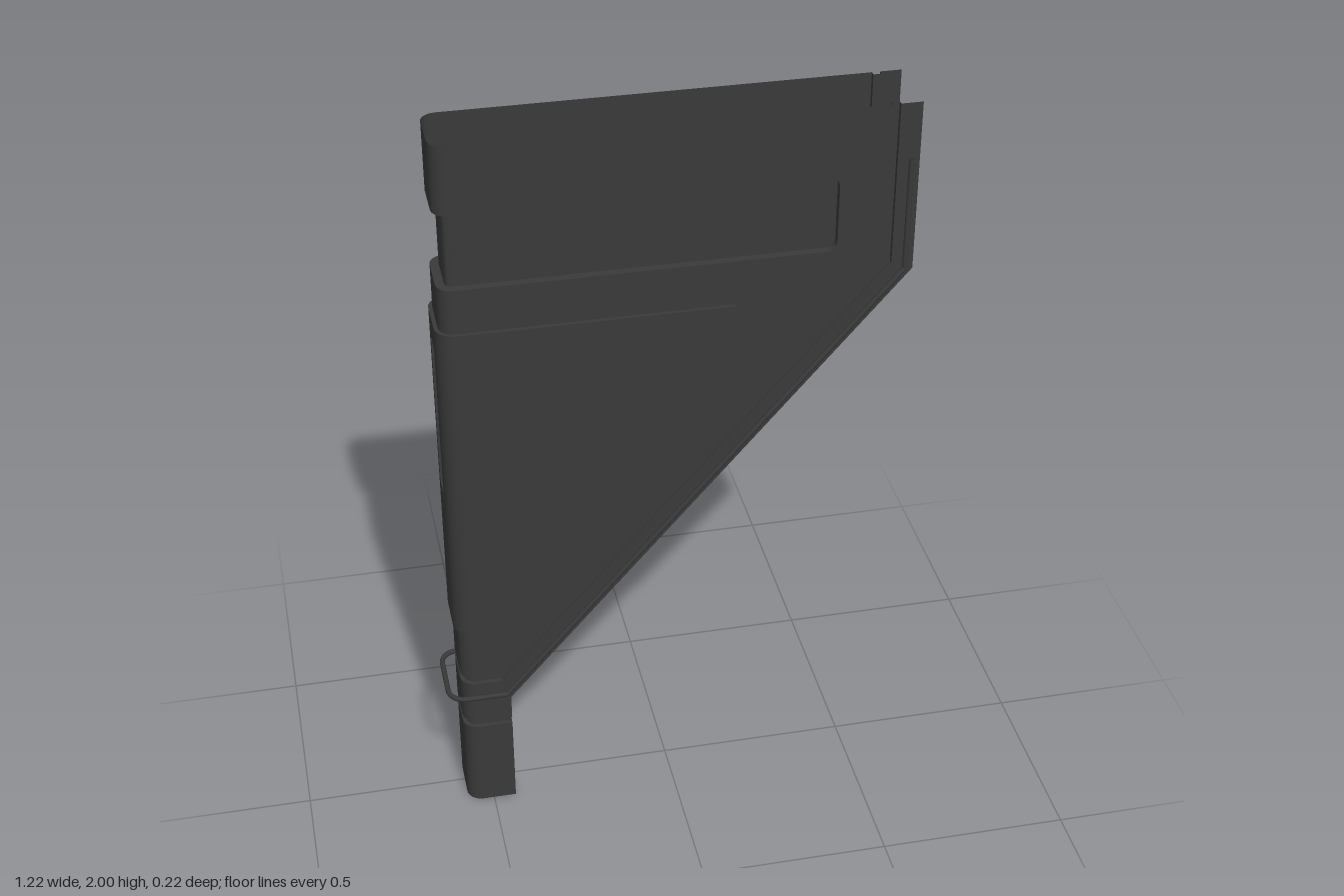
import * as THREE from 'three';
import { toCreasedNormals } from 'three/addons/utils/BufferGeometryUtils.js';

const material = new THREE.MeshStandardMaterial({ color: 0x3a3a3a, side: THREE.DoubleSide });
const CX = -0.53; // where the flat sides meet the rounded end
const GROOVE = 0.013, RECESS = 0.022;

function add(parent, name, geometry) {
  const mesh = new THREE.Mesh(geometry, material);
  mesh.name = name;
  parent.add(mesh);
  return mesh;
}

// Joins rings of equal length into one skin
function loft(rings, closed) {
  const n = rings[0].length, index = [];
  const cols = closed ? n : n - 1;
  for (let r = 0; r < rings.length - 1; r++) {
    for (let i = 0; i < cols; i++) {
      const a = r * n + i, b = r * n + (i + 1) % n;
      index.push(a, b, a + n, b, b + n, a + n);
    }
  }
  const geo = new THREE.BufferGeometry();
  geo.setAttribute('position', new THREE.Float32BufferAttribute(rings.flat(2), 3));
  geo.setIndex(index);
  return toCreasedNormals(geo, 0.6);
}

// Rounded U section at height y: d pushes it inward, notch sinks a slot into the end
function section(y, d = 0, notch = 0, slot = 0.035) {
  const r = 0.04 - d, end = CX - r, half = [];
  for (let i = 0; i <= 6; i++) {
    const a = Math.PI / 2 * (1 + i / 6);
    half.push([CX + r * Math.cos(a), y, 0.05 + r * Math.sin(a)]);
  }
  half.push([end, y, slot], [end + notch, y, slot]);
  return [...half, ...half.map(([x, , z]) => [x, y, -z]).reverse()];
}

// Line parallel to the slanted free edge, inset by d, turning level at yLow
function edgeLine(d, yLow) {
  return [
    [CX, yLow],
    [(0.657 * yLow - 0.562 - d) / 0.754, yLow],
    [0.605 - d, 1.55 + 0.374 * d],
    [0.605 - d, 2],
  ];
}

function plate(parent, name, points, depth) {
  const geo = new THREE.ShapeGeometry(new THREE.Shape(points.map(p => new THREE.Vector2(...p))));
  add(parent, name, geo.translate(0, 0, 0.09 - depth));
}

function step(parent, name, points, depth) {
  add(parent, name, loft([0.09, 0.09 - depth].map(z => points.map(([x, y]) => [x, y, z])), false));
}

function buildSide() {
  const side = new THREE.Group();
  side.name = 'sideWall';
  const outer = edgeLine(0.055, 0.41), inner = edgeLine(0.075, 0.43);

  // Recess outline with rounded far corners
  const recess = [[CX, 1.62]];
  for (const [cy, start] of [[1.645, -Math.PI / 2], [1.795, 0]]) {
    for (let i = 0; i <= 4; i++) {
      const a = start + i * Math.PI / 8;
      recess.push([0.385 + 0.025 * Math.cos(a), cy + 0.025 * Math.sin(a)]);
    }
  }
  recess.push([CX, 1.82]);

  plate(side, 'foot', [[CX, 0], [-0.44, 0], [-0.44, 0.26], [CX, 0.26]], 0);
  plate(side, 'footGroove', [[CX, 0.26], [-0.44, 0.26], [-0.44, 0.28], [CX, 0.28]], GROOVE);
  for (const y of [0.26, 0.28]) step(side, 'footGrooveStep', [[CX, y], [-0.44, y]], GROOVE);
  plate(side, 'edgeStrip', [
    [CX, 0.28], [-0.44, 0.28], [-0.44, 0.35], [0.605, 1.55], [0.605, 2], ...[...outer].reverse(),
  ], 0);
  plate(side, 'edgeGroove', [...outer, ...[...inner].reverse()], GROOVE);
  step(side, 'edgeGrooveOuterStep', outer, GROOVE);
  step(side, 'edgeGrooveInnerStep', inner, GROOVE);
  plate(side, 'mainPanel', [...inner, [CX, 2], ...[...recess].reverse()], 0);
  plate(side, 'recessFloor', recess, RECESS);
  step(side, 'recessStep', recess, RECESS);
  return side;
}

// Solid wedge filling the middle, with a slot in its closed end
function buildWedge() {
  const ring = (y, notch) => {
    const x = Math.min(0.16, CX + (y - 0.59) / 0.87 * 0.69);
    return [[x, y, 0.1], ...section(y, -0.01, notch, 0.03), [x, y, -0.1]];
  };
  const levels = [[0.59, 0], [1.0, 0], [1.0, 0.1], [1.43, 0.1], [1.43, 0], [1.46, 0], [1.5, 0]];
  const rings = levels.map(([y, n]) => ring(y, n));
  const cap = (x, y) => rings[0].map(() => [x, y, 0]);
  return loft([cap(-0.55, 0.59), ...rings, cap(-0.2, 1.5)], true);
}

// Wire that loops round the closed end and follows both slanted edges
function buildWire() {
  const half = [[0.58, 1.86, 0.105], [0.58, 1.56, 0.105], [-0.452, 0.375, 0.105]];
  for (let i = 0; i <= 8; i++) {
    const a = Math.PI / 2 * (1 + i / 8);
    half.push([-0.56 + 0.045 * Math.cos(a), 0.375, 0.06 + 0.045 * Math.sin(a)]);
  }
  const points = [...half, ...half.map(([x, y, z]) => [x, y, -z]).reverse()]
    .map(p => new THREE.Vector3(...p));
  const path = new THREE.CurvePath();
  for (let i = 1; i < points.length; i++) path.add(new THREE.LineCurve3(points[i - 1], points[i]));
  return new THREE.TubeGeometry(path, 500, 0.007, 8, false);
}

export function createModel() {
  const model = new THREE.Group();
  model.name = 'cover';

  // Two mirrored side walls
  const front = buildSide(), back = buildSide();
  back.scale.z = -1;
  model.add(front, back);

  // Rounded closed end: height, inset, slot depth
  const levels = [
    [0, 0], [0.26, 0], [0.26, GROOVE], [0.28, GROOVE], [0.28, 0],
    [0.41, 0], [0.41, GROOVE], [0.43, GROOVE], [0.43, 0],
    [0.99, 0], [0.99, 0, 0.12], [1.44, 0, 0.12], [1.44, 0],
    [1.62, 0], [1.62, RECESS], [1.82, RECESS], [1.82, 0], [2, 0],
  ];
  add(model, 'closedEnd', loft(levels.map(l => section(...l)), false));

  add(model, 'wedge', buildWedge());
  add(model, 'wire', buildWire());

  // Latch in the slot and its tab on top of the wedge
  add(model, 'latchButton', new THREE.BoxGeometry(0.08, 0.13, 0.05)).position.set(-0.515, 1.36, 0);
  add(model, 'latchTab', new THREE.BoxGeometry(0.17, 0.06, 0.04)).position.set(-0.465, 1.51, 0);
  return model;
}
